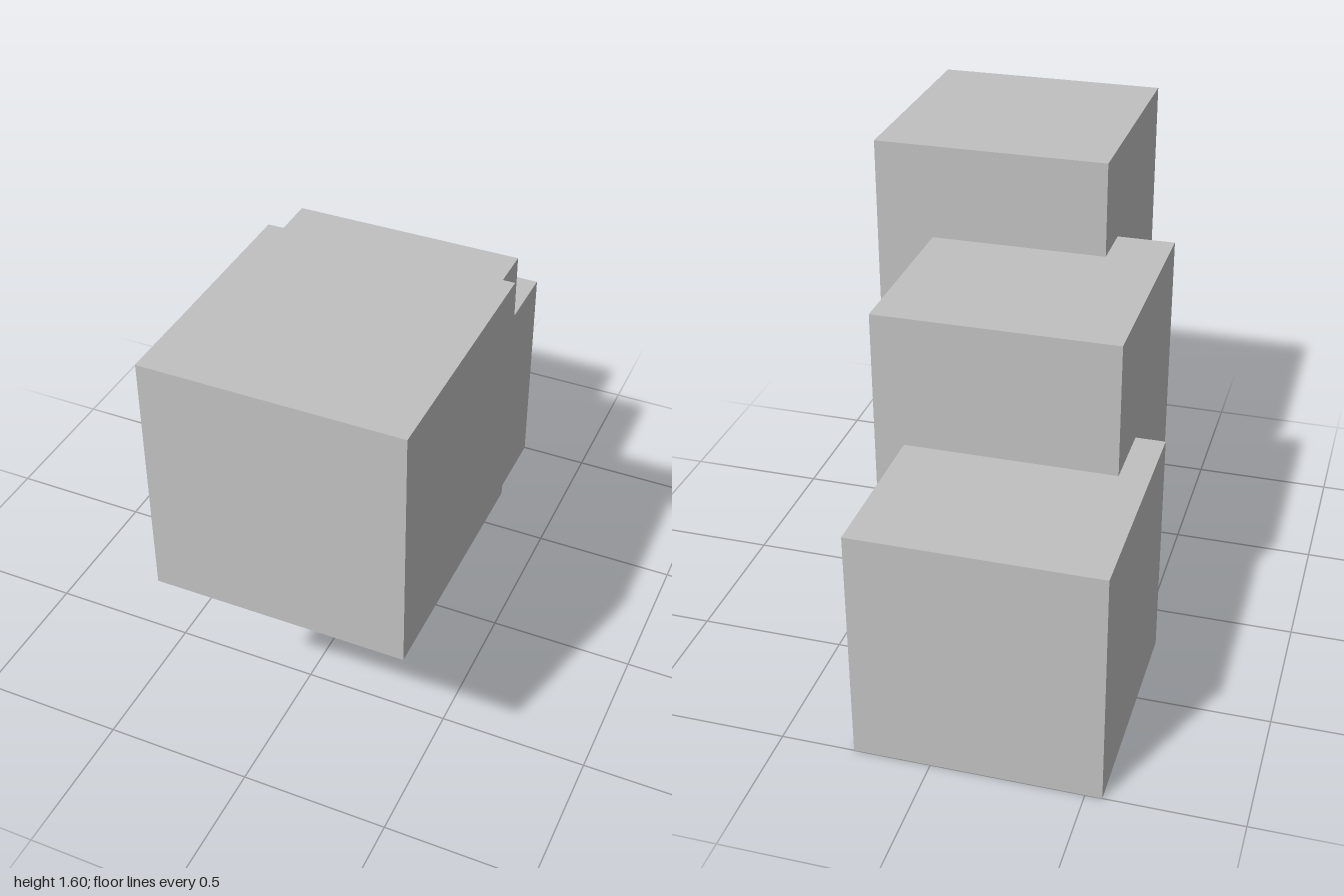
import * as THREE from 'three';

export function createModel() {
  const group = new THREE.Group();
  group.name = 'steppedCubes';

  const grey = new THREE.MeshStandardMaterial({ color: 0xc0c0c0 });
  grey.name = 'light grey';

  // Three equal cubes climbing from the back to the front
  const size = 0.81;
  const cube = new THREE.BoxGeometry(size, size, size);
  const steps = [
    ['lowerCube', -0.15, 0.405, -0.595],
    ['middleCube', -0.05, 0.86, -0.035],
    ['upperCube', 0.15, 1.19, 0.595],
  ];
  for (const [name, x, y, z] of steps) {
    const mesh = new THREE.Mesh(cube, grey);
    mesh.name = name;
    mesh.position.set(x, y, z);
    group.add(mesh);
  }
  return group;
}
